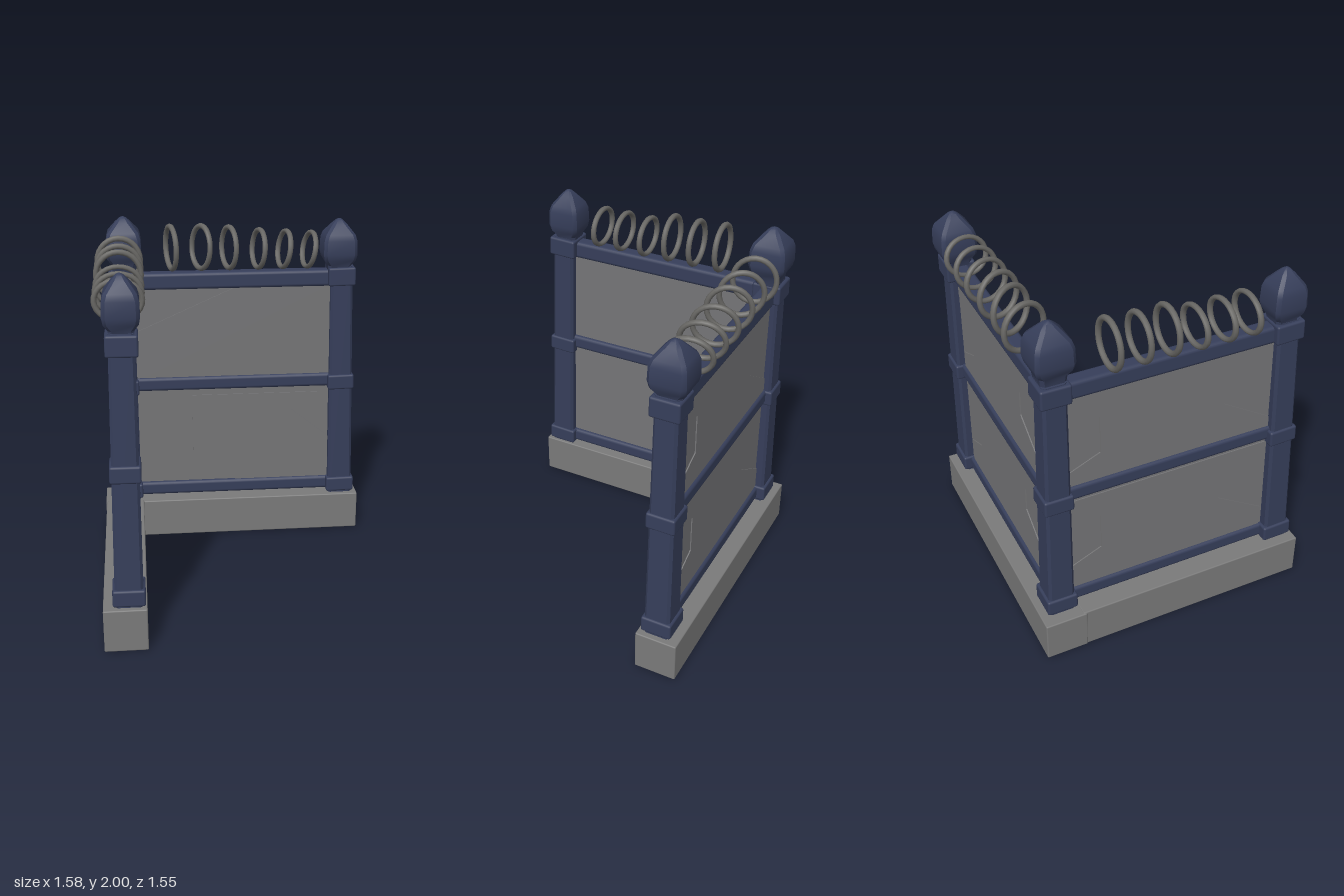
import * as THREE from 'three';
import { toCreasedNormals } from 'three/addons/utils/BufferGeometryUtils.js';
import { RoundedBoxGeometry } from 'three/addons/geometries/RoundedBoxGeometry.js';

const paint = (name, color) => Object.assign(new THREE.MeshStandardMaterial({ color }), { name });

// Stacks bevelled square sections; each level is [y, halfX, halfZ, centreX, centreZ]
function squareLoft(levels, bevel) {
  const pos = [], idx = [], n = 8;
  for (const [y, hx, hz, cx = 0, cz = 0] of levels) {
    const b = Math.min(bevel, hx * 0.4);
    const section = [[hx, -hz + b], [hx, hz - b], [hx - b, hz], [-hx + b, hz],
      [-hx, hz - b], [-hx, -hz + b], [-hx + b, -hz], [hx - b, -hz]];
    for (const [x, z] of section) pos.push(cx + x, y, cz + z);
  }
  const top = (levels.length - 1) * n;
  for (let i = 0; i < top; i += n) {
    for (let j = 0; j < n; j++) {
      const a = i + j, b = i + (j + 1) % n;
      idx.push(a, a + n, b, b, a + n, b + n);
    }
  }
  for (let j = 1; j < n - 1; j++) idx.push(0, j, j + 1, top, top + j + 1, top + j);
  const geo = new THREE.BufferGeometry();
  geo.setAttribute('position', new THREE.Float32BufferAttribute(pos, 3));
  geo.setIndex(idx);
  return toCreasedNormals(geo, 0.5);
}

export function createModel() {
  const model = new THREE.Group();
  model.name = 'cornerFence';
  const iron = paint('blue iron', 0x363e5a);
  const concrete = paint('concrete', 0x7a7a7a);
  const slab = paint('panel grey', 0x757577);
  const wire = paint('wire grey', 0x686764);

  function add(parent, name, geo, mat, x = 0, y = 0, z = 0) {
    const mesh = new THREE.Mesh(geo, mat);
    mesh.name = name;
    mesh.position.set(x, y, z);
    parent.add(mesh);
    return mesh;
  }
  // Box from its limits, with softened edges
  function block(parent, name, mat, [x0, x1], [y0, y1], [z0, z1], r) {
    return add(parent, name, new RoundedBoxGeometry(x1 - x0, y1 - y0, z1 - z0, 2, r), mat,
      (x0 + x1) / 2, (y0 + y1) / 2, (z0 + z1) / 2);
  }

  // L-shaped footing
  block(model, 'backFooting', concrete, [-0.79, 0.79], [0, 0.235], [-0.775, -0.54], 0.007);
  block(model, 'sideFooting', concrete, [-0.785, -0.555], [0, 0.24], [-0.56, 0.775], 0.007);

  // Leaning posts with three collars and a pointed cap
  function post(name, foot, head, cap, capTop, capHalf) {
    const g = new THREE.Group();
    g.name = name;
    model.add(g);
    add(g, 'shaft', squareLoft([
      [0.235, 0.075, 0.073, ...foot],
      [1.69, 0.065, 0.063, ...head],
    ], 0.014), iron);
    for (const [y, half] of [[0.292, 0.086], [0.972, 0.08], [1.63, 0.081]]) {
      const t = (y - 0.235) / 1.455;
      const collar = add(g, 'collar', new RoundedBoxGeometry(half * 2, y > 1.5 ? 0.11 : 0.092, half * 2, 2, 0.012),
        iron, THREE.MathUtils.lerp(foot[0], head[0], t), y, THREE.MathUtils.lerp(foot[1], head[1], t));
      collar.rotation.z = (foot[0] - head[0]) * 0.7;
      collar.rotation.x = -(foot[1] - head[1]) * 0.7;
    }
    const profile = [[-0.32, 0.64], [-0.27, 0.7], [-0.235, 0.93], [-0.2, 1], [-0.12, 0.97],
      [-0.085, 0.86], [-0.03, 0.42], [-0.008, 0.2], [0, 0.06]];
    add(g, 'cap', squareLoft(profile.map(([dy, s]) =>
      [capTop + dy, s * capHalf, s * capHalf, ...cap]), 0.018), iron);
  }
  post('cornerPost', [-0.645, -0.652], [-0.638, -0.64], [-0.625, -0.636], 2.0, 0.102);
  post('rightPost', [0.682, -0.645], [0.656, -0.645], [0.642, -0.648], 1.965, 0.1);
  post('frontPost', [-0.648, 0.672], [-0.637, 0.63], [-0.636, 0.62], 1.97, 0.092);

  // Broken surface layers: thin raised plates on a panel face
  function plates(parent, outlines, depth) {
    for (const pts of outlines) {
      const shape = new THREE.Shape(pts.map(p => new THREE.Vector2(...p)));
      add(parent, 'panelPlate', new THREE.ExtrudeGeometry(shape, {
        depth: 0.006, bevelEnabled: false,
      }), slab, 0, 0, depth);
    }
  }

  // Wall: three rails, two panels, cracked plates on both faces
  function wall(name, x, z, turn, midY, inner, outer) {
    const g = new THREE.Group();
    g.name = name;
    g.position.set(x, 0, z);
    g.rotation.y = turn;
    model.add(g);
    for (const [y, h] of [[0.292, 0.084], [midY, 0.084], [1.617, 0.1]]) {
      block(g, 'rail', iron, [-0.65, 0.65], [y - h / 2, y + h / 2], [-0.044, 0.044], 0.02);
    }
    block(g, 'lowerPanel', slab, [-0.64, 0.65], [0.3, 0.97], [-0.022, 0.022], 0.004);
    block(g, 'upperPanel', slab, [-0.64, 0.64], [0.98, 1.61], [-0.022, 0.022], 0.004);
    plates(g, inner, 0.022);
    const back = new THREE.Group();
    back.name = 'outerFace';
    back.rotation.y = Math.PI;
    g.add(back);
    plates(back, outer, 0.022);
  }

  // Plate outlines shared by the outer faces
  const notched = dy => [[-0.58, 0.33], [0.58, 0.33], [0.58, 0.46], [0.3, 0.63], [0.3, 0.77],
    [0.57, 0.93], [-0.58, 0.93], [-0.58, 0.86], [-0.4, 0.78], [-0.4, 0.56], [-0.58, 0.48]]
    .map(([x, y]) => [x, y + dy]);
  const outerPlates = [notched(0), notched(0.635)];

  wall('backWall', 0, -0.645, 0, 0.98, [
    [[-0.58, 1.0], [0.6, 1.0], [0.6, 1.58], [0.02, 1.57], [-0.58, 1.305]],
    [[-0.24, 0.9], [-0.24, 0.53], [0.04, 0.32], [0.62, 0.32], [0.62, 0.59], [0.37, 0.79], [0.53, 0.9]],
  ], outerPlates);
  wall('sideWall', -0.64, 0, Math.PI / 2, 0.992, [
    [[-0.6, 0.83], [-0.31, 0.69], [-0.31, 0.5], [0.02, 0.33], [0.6, 0.33], [0.6, 0.46],
      [0.28, 0.64], [0.28, 0.74], [0.6, 0.89], [0.6, 0.97], [-0.6, 0.97]],
  ], outerPlates);

  // Wire coils above the walls
  function ring(x, y, z, rx, ry, yaw, roll) {
    const geo = new THREE.TorusGeometry(1, 0.125, 8, 28);
    geo.scale(rx, ry, 0.13);
    geo.rotateY(yaw);
    geo.rotateZ(roll);
    add(model, 'wireRing', geo, wire, x, y, z);
  }
  const backRings = [[-0.35, 1.95, 0.24, 0], [-0.175, 1.95, 0.42, -0.08], [-0.01, 1.94, 0.3, -0.05],
    [0.165, 1.92, 0.22, -0.1], [0.317, 1.91, 0.17, -0.17], [0.465, 1.9, 0.15, -0.2]];
  for (const [x, top, yaw, roll] of backRings) {
    const half = (top - 1.67) / 2;
    ring(x, top - half, -0.645, 0.115, half / 1.125, Math.PI / 2 + yaw, roll);
  }
  const sideRings = [[-0.34, 1.95], [-0.185, 1.94], [-0.035, 1.94],
    [0.115, 1.895], [0.265, 1.895], [0.405, 1.895]];
  for (const [z, top] of sideRings) {
    const half = (top - 1.665) / 2;
    ring(-0.65, top - half, z, 0.12, half / 1.125, 0.02, 0);
  }
  return model;
}
